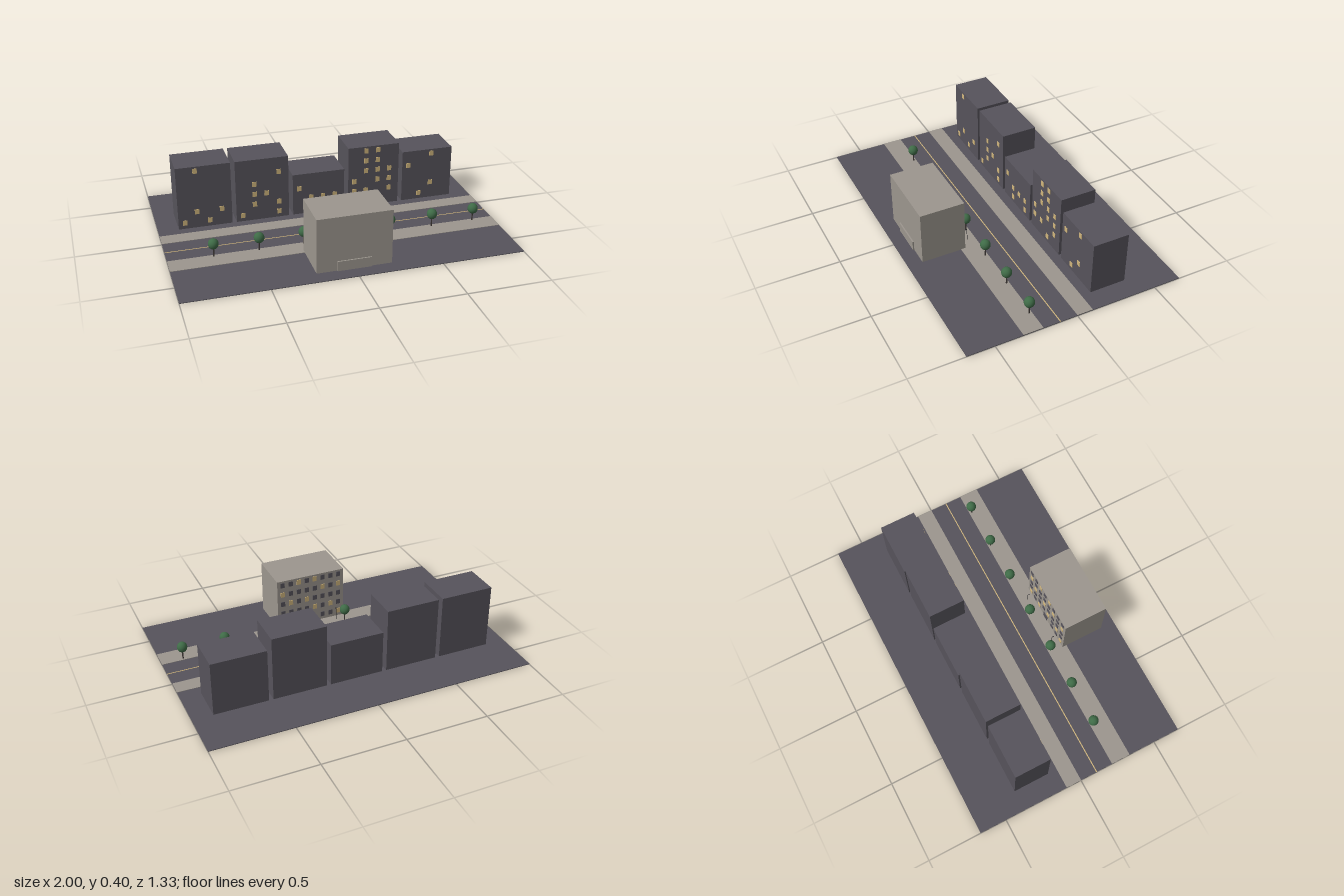
import * as THREE from 'three';

const mat = (name, color) => {
  const m = new THREE.MeshStandardMaterial({ color });
  m.name = name;
  return m;
};

export function createModel() {
  const asphalt = mat('dark asphalt', 0x56535b);
  const stone = mat('pale stone', 0x9c968e);
  const glow = mat('lit window gold', 0xd0b57c);
  const leaf = mat('leaf green', 0x3f6b47);
  const bark = mat('bark brown', 0x3d3735);
  const iron = mat('lamp iron', 0x2b2a2e);

  const model = new THREE.Group();
  model.name = 'streetBlock';

  const add = (parent, name, geometry, material, x, y, z) => {
    const mesh = new THREE.Mesh(geometry, material);
    mesh.name = name;
    mesh.position.set(x, y, z);
    parent.add(mesh);
    return mesh;
  };
  // Box given by its base height
  const box = (parent, name, material, w, h, d, x, base, z) =>
    add(parent, name, new THREE.BoxGeometry(w, h, d), material, x, base + h / 2, z);

  // Ground, pavements and road line
  const G = 0.004;
  box(model, 'ground', asphalt, 2, G, 1.333, 0, 0, 0);
  box(model, 'farPavement', stone, 2, 0.0025, 0.096, 0, G, -0.048);
  box(model, 'nearPavement', stone, 2, 0.0025, 0.12, 0, G, 0.271);
  box(model, 'roadLine', glow, 2, 0.001, 0.006, 0, G, 0.106);

  // Row of dark blocks; each row of digits lists the lit columns per floor, from the ground up
  const blocks = [
    { height: 0.4, lit: ['02', '13', '', '', '', '1'] },
    { height: 0.4, lit: ['03', '13', '12', '1', '3', ''] },
    { height: 0.267, lit: ['13', '123', '0', ''] },
    { height: 0.4, lit: ['2', '013', '023', '123', '12', '12'] },
    { height: 0.333, lit: ['1', '2', '', '0', '2'] },
  ];
  const floor = 0.0667;
  const pane = new THREE.BoxGeometry(0.027, 0.032, 0.004);
  blocks.forEach(({ height, lit }, i) => {
    const block = new THREE.Group();
    block.name = 'rowBuilding' + (i + 1);
    block.position.set((i - 2) * 0.3556, G, -0.267);
    model.add(block);
    box(block, 'walls', asphalt, 0.329, height, 0.222, 0, 0, 0);
    lit.forEach((columns, f) => {
      for (const c of columns) {
        add(block, 'litWindow', pane, glow, -0.125 + 0.076 * c, 0.039 + floor * f, 0.112);
      }
    });
  });

  // Pale main building, its windows facing the road
  const main = new THREE.Group();
  main.name = 'mainBuilding';
  main.position.set(0, G, 0.44);
  model.add(main);
  box(main, 'walls', stone, 0.444, 0.334, 0.273, 0, 0, 0);
  box(main, 'rearPorch', stone, 0.2, 0.06, 0.008, 0, 0, 0.1405);
  for (let f = 0; f < 5; f++) {
    for (let c = 0; c < 8; c++) {
      if (f === 0 && (c === 3 || c === 4)) continue;
      const isLit = (f * 5 + c * 3) % 7 < 2;
      add(main, isLit ? 'litWindow' : 'darkWindow', pane, isLit ? glow : asphalt,
        (c - 3.5) * 0.0535, 0.039 + floor * f, -0.138);
    }
  }
  box(main, 'entranceDoor', asphalt, 0.045, 0.055, 0.004, 0, 0, -0.138);

  // Street trees
  const crown = new THREE.SphereGeometry(0.031, 24, 16);
  const trunk = new THREE.CylinderGeometry(0.0035, 0.0045, 0.06, 10);
  for (let i = 0; i < 7; i++) {
    const tree = new THREE.Group();
    tree.name = 'tree' + (i + 1);
    tree.position.set(-0.7333 + i * 0.2667, G, 0.227);
    model.add(tree);
    add(tree, 'trunk', trunk, bark, 0, 0.03, 0);
    add(tree, 'crown', crown, leaf, 0, 0.083, 0).scale.y = 1.06;
  }

  // Pair of thin lamp posts
  for (const x of [-0.157, 0.157]) {
    const lamp = new THREE.Group();
    lamp.name = 'streetLamp';
    lamp.position.set(x, G, 0.261);
    model.add(lamp);
    add(lamp, 'post', new THREE.CylinderGeometry(0.0015, 0.0015, 0.08, 8), iron, 0, 0.04, 0);
    add(lamp, 'lampHead', new THREE.SphereGeometry(0.004, 10, 8), iron, 0, 0.08, 0.008);
  }

  return model;
}
